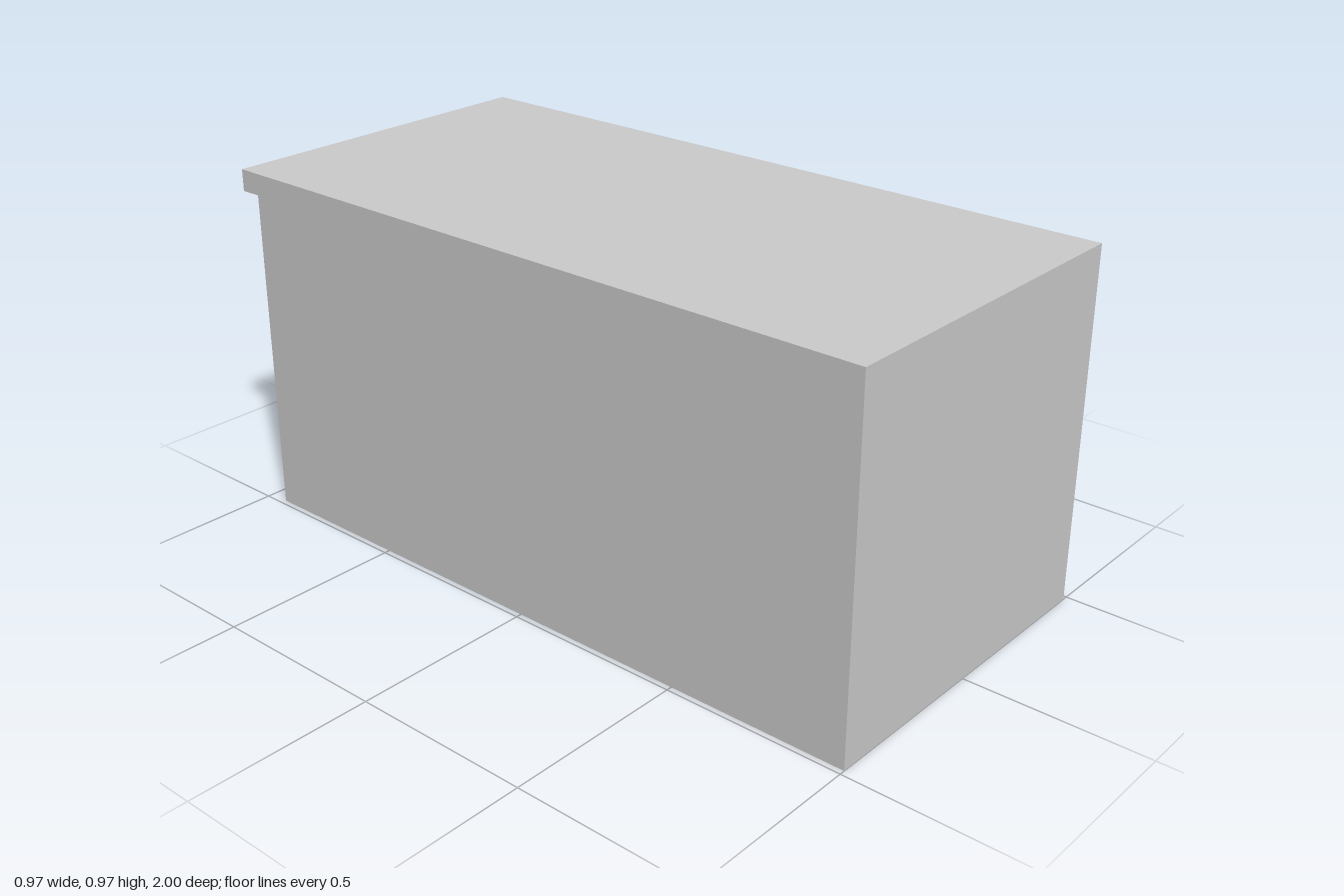
import * as THREE from 'three';

const material = new THREE.MeshStandardMaterial({ color: 0xcccccc, flatShading: true });

// Box given by its extents on each axis
function block(name, [x0, x1], [y0, y1], [z0, z1]) {
  const mesh = new THREE.Mesh(new THREE.BoxGeometry(x1 - x0, y1 - y0, z1 - z0), material);
  mesh.position.set((x0 + x1) / 2, (y0 + y1) / 2, (z0 + z1) / 2);
  mesh.name = name;
  return mesh;
}

// Side outline (z, y) swept across x, centred on x = 0
function sweep(name, outline, width) {
  const shape = new THREE.Shape(outline.map(([z, y]) => new THREE.Vector2(-z, y)));
  const geometry = new THREE.ExtrudeGeometry(shape, { depth: width, bevelEnabled: false });
  geometry.translate(0, 0, -width / 2);
  geometry.rotateY(Math.PI / 2);
  const mesh = new THREE.Mesh(geometry, material);
  mesh.name = name;
  return mesh;
}

export function createModel() {
  const model = new THREE.Group();
  model.name = 'cabinet';

  // Long cabinet body with an overhanging lip above the door
  model.add(sweep('body', [
    [1, 0], [-0.94, 0], [-0.94, 0.91], [-1, 0.91], [-1, 0.97], [1, 0.97],
  ], 0.97));

  // Door on the back end
  model.add(block('door', [-0.423, 0.423], [0.062, 0.908], [-0.96, -0.94]));

  // Hinge straps reaching from the side edge onto the door
  for (const [name, y] of [['lowerHinge', 0.16], ['upperHinge', 0.82]]) {
    model.add(block(name, [0.37, 0.485], [y - 0.031, y + 0.031], [-0.962, -0.94]));
  }

  // Pull handle: a grip on two short posts
  const handle = new THREE.Group();
  handle.name = 'handle';
  const across = [-0.369, -0.346];
  handle.add(block('grip', across, [0.41, 0.57], [-1, -0.98]));
  for (const [name, y] of [['lowerPost', 0.41], ['upperPost', 0.553]]) {
    handle.add(block(name, across, [y, y + 0.017], [-0.98, -0.96]));
  }
  model.add(handle);

  return model;
}
